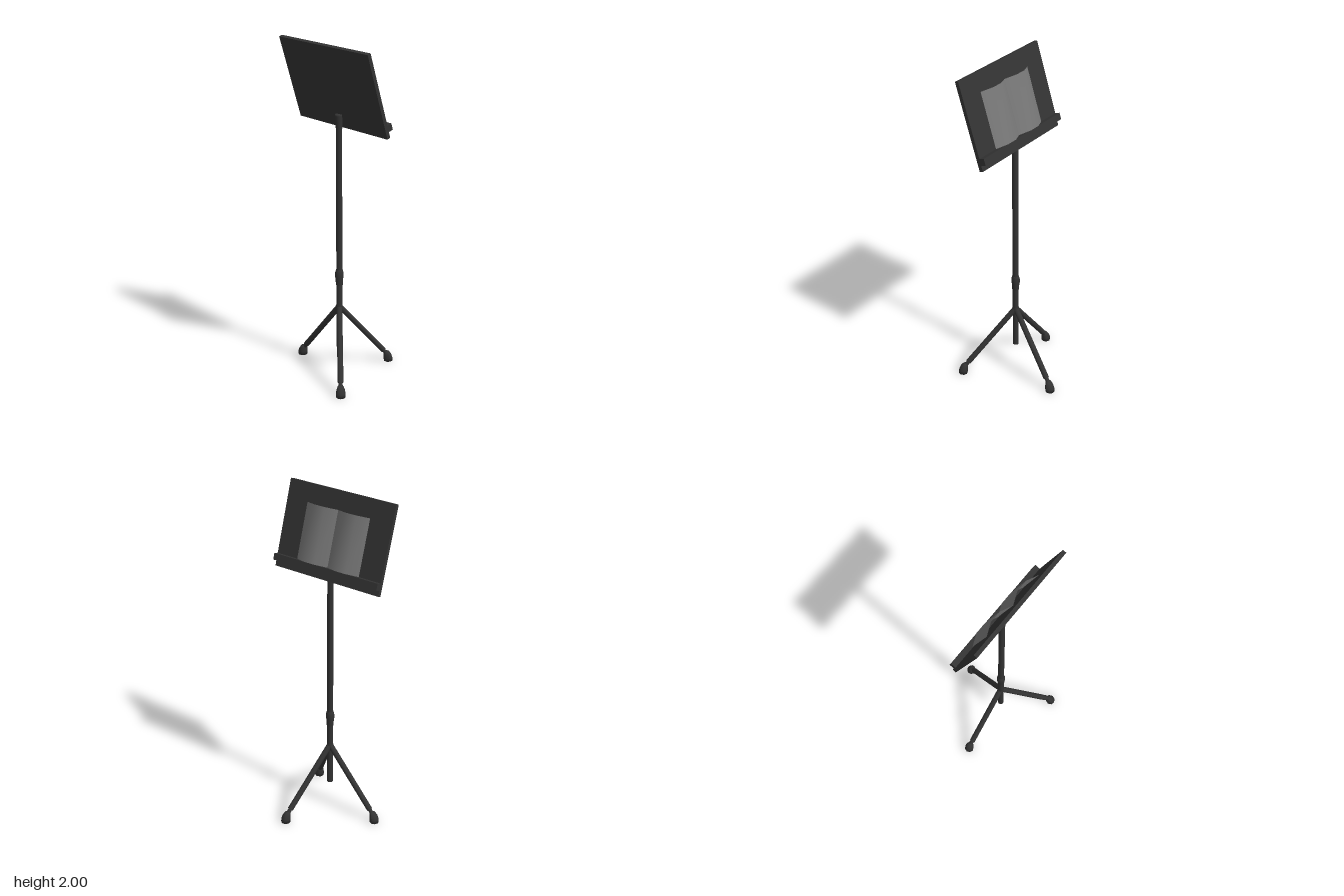
import * as THREE from 'three';

const metal = new THREE.MeshStandardMaterial({ color: 0x333333 });
metal.name = 'blackMetal';
const paper = new THREE.MeshStandardMaterial({ color: 0x777777, side: THREE.DoubleSide });
paper.name = 'greyPaper';

const POLE_Z = 0.05;

function add(parent, name, geometry, material = metal) {
  const mesh = new THREE.Mesh(geometry, material);
  mesh.name = name;
  parent.add(mesh);
  return mesh;
}

// Turned part from [radius, height] pairs, listed bottom to top
function turned(points, sides = 12) {
  return new THREE.LatheGeometry(points.map(([r, y]) => new THREE.Vector2(r, y)), sides);
}

// Round bar between two points
function bar(parent, name, a, b, radius) {
  const dir = new THREE.Vector3().subVectors(b, a);
  const mesh = add(parent, name, new THREE.CylinderGeometry(radius, radius, dir.length(), 10));
  mesh.position.addVectors(a, b).multiplyScalar(0.5);
  mesh.quaternion.setFromUnitVectors(new THREE.Vector3(0, 1, 0), dir.normalize());
  return mesh;
}

// Leg pointing along local +x, with a rubber foot that leans back to the leg
function makeLeg() {
  const leg = new THREE.Group();
  leg.name = 'leg';
  const hinge = new THREE.Vector3(0, 0.425, 0);
  const ankle = new THREE.Vector3(0.298, 0.075, 0);
  const tip = new THREE.Vector3(0.322, 0.045, 0);
  bar(leg, 'legTube', hinge, ankle, 0.017);
  bar(leg, 'ankle', ankle, tip, 0.012);

  const foot = turned([[0, 0], [0.028, 0], [0.028, 0.022], [0.024, 0.045], [0.017, 0.062], [0, 0.068]], 8);
  const pos = foot.attributes.position;
  for (let i = 0; i < pos.count; i++) {
    const y = pos.getY(i);
    pos.setX(i, pos.getX(i) + 0.333 - 3.6 * y * y);
  }
  foot.computeVertexNormals();
  add(leg, 'foot', foot);
  return leg;
}

// One half of the open book: a sheet bulging away from the desk
function pageGeometry(width, height) {
  const bulge = [0.003, 0.0345, 0.0345, 0.003];
  const geo = new THREE.PlaneGeometry(width, height, 3, 1);
  const pos = geo.attributes.position;
  for (let i = 0; i < pos.count; i++) pos.setZ(i, bulge[i % 4]);
  geo.computeVertexNormals();
  return geo.rotateY(Math.PI);
}

export function createModel() {
  const model = new THREE.Group();
  model.name = 'musicStand';

  // Upright with collar and top bracket
  const upright = new THREE.Group();
  upright.name = 'upright';
  upright.position.z = POLE_Z;
  model.add(upright);
  const pole = add(upright, 'pole', new THREE.CylinderGeometry(0.018, 0.018, 1.415, 12));
  pole.position.y = 0.165 + 1.415 / 2;
  add(upright, 'collar', turned([[0.017, 0.56], [0.021, 0.562], [0.022, 0.6], [0.025, 0.61],
    [0.025, 0.638], [0.02, 0.655], [0.017, 0.656]]));
  add(upright, 'bracket', turned([[0.017, 1.5], [0.019, 1.51], [0.022, 1.58], [0.022, 1.59], [0, 1.59]]));
  add(upright, 'hub', turned([[0.017, 0.395], [0.02, 0.4], [0.02, 0.43], [0.017, 0.435]]));

  // Three legs, given by where each foot stands
  for (const [x, z] of [[-0.33, 0.054], [0.248, 0.267], [0.093, -0.27]]) {
    const leg = makeLeg();
    leg.position.z = POLE_Z;
    leg.rotation.y = -Math.atan2(z - POLE_Z, x);
    model.add(leg);
  }

  // Tilted desk; its origin is the top edge of the reading face, which looks to -z
  const desk = new THREE.Group();
  desk.name = 'desk';
  desk.position.set(0, 2, 0.155);
  desk.rotation.x = 0.305;
  model.add(desk);
  const board = add(desk, 'board', new THREE.BoxGeometry(0.72, 0.507, 0.022));
  board.position.set(0, -0.2535, 0.011);
  const ledge = add(desk, 'ledge', new THREE.BoxGeometry(0.72, 0.039, 0.031));
  ledge.position.set(0, -0.4525, -0.0155);

  // Open book resting on the ledge
  for (const side of [-1, 1]) {
    const page = add(desk, side > 0 ? 'leftPage' : 'rightPage', pageGeometry(0.215, 0.326), paper);
    page.position.set(side * 0.1075, -0.27, 0);
  }
  return model;
}
